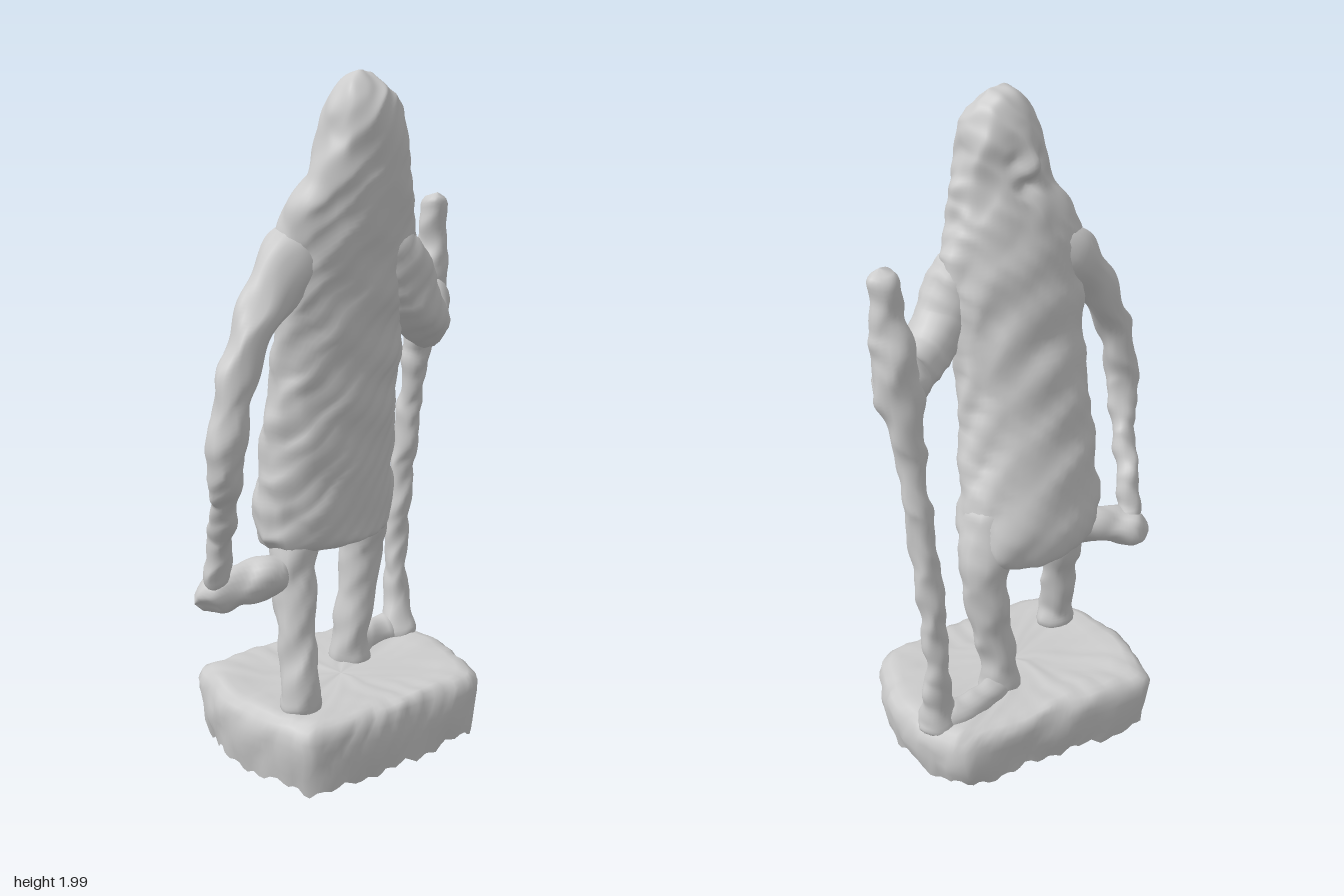
import * as THREE from 'three';

const material = new THREE.MeshStandardMaterial({ color: 0xcccccc, side: THREE.DoubleSide });

// Hand-modelled lumpiness: a small smooth offset that depends on position.
function lump(v, amp) {
  const { x, y, z } = v;
  const wave = (a, b, c) => Math.sin(a * x + 0.6 * b * z + 1) * Math.sin(b * y + c) + 0.6 * Math.sin(2 * b * x - a * y) * Math.sin(2 * a * z + 1.3 * b * y + c);
  v.x += amp * wave(31, 37, 0);
  v.y += amp * wave(27, 33, 2);
  v.z += amp * wave(35, 29, 4);
  return v;
}

// Skin over a list of rings that each have the same number of points.
function skin(name, rings, amp) {
  const n = rings[0].length, index = [];
  const points = rings.flat().map(p => lump(p.clone(), amp));
  for (let i = 0; i < rings.length - 1; i++) {
    for (let j = 0; j < n; j++) {
      const a = i * n + j, b = i * n + (j + 1) % n;
      index.push(a, b, b + n, a, b + n, a + n);
    }
  }
  const geometry = new THREE.BufferGeometry().setFromPoints(points);
  geometry.setIndex(index);
  geometry.computeVertexNormals();
  const mesh = new THREE.Mesh(geometry, material);
  mesh.name = name;
  return mesh;
}

// Round-ended limb through [x, y, z, radius] stations.
function limb(name, stations, amp = 0.005, sides = 20) {
  const path = new THREE.CatmullRomCurve3(stations.map(s => new THREE.Vector3(s[0], s[1], s[2])), false, 'catmullrom');
  const radii = new THREE.CatmullRomCurve3(stations.map(s => new THREE.Vector3(s[3], 0, 0)), false, 'catmullrom');
  const length = path.getLength();
  const steps = Math.max(24, Math.ceil(length / 0.012));
  const frames = path.computeFrenetFrames(steps);
  const rings = [];
  for (let i = 0; i <= steps; i++) {
    const u = i / steps, centre = path.getPointAt(u);
    const r = radii.getPoint(path.getUtoTmapping(u)).x;
    const k = Math.min(1, Math.min(u, 1 - u) * length / r);
    const radius = r * Math.sqrt(1 - (1 - k) ** 2);
    rings.push(Array.from({ length: sides }, (_, j) => {
      const a = j / sides * Math.PI * 2;
      return centre.clone()
        .addScaledVector(frames.normals[i], radius * Math.cos(a))
        .addScaledVector(frames.binormals[i], radius * Math.sin(a));
    }));
  }
  return skin(name, rings, amp);
}

// Face features: [sideways, height, spread, depth], pushed out or in on the facing side.
const features = [
  [0, 1.81, 0.03, 0.022], [0, 1.87, 0.045, 0.012], [0, 1.755, 0.028, -0.02],
  [-0.045, 1.82, 0.022, -0.012], [0.045, 1.82, 0.022, -0.012], [0, 1.69, 0.045, 0.014],
];

// Hooded robe: slanted ellipses given as [y, x, z, half x, half z, slant].
function robe() {
  const profile = [
    [0.72, -0.045, 0.00, 0.002, 0.002, 2.0],
    [0.685, -0.045, 0.00, 0.15, 0.14, 2.0],
    [0.7, -0.045, 0.00, 0.203, 0.198, 2.0],
    [0.78, -0.045, 0.003, 0.214, 0.21, 2.0],
    [0.90, -0.042, 0.027, 0.206, 0.192, 2.0],
    [1.05, -0.034, 0.06, 0.198, 0.166, 2.0],
    [1.2, -0.022, 0.085, 0.19, 0.147, 2.0],
    [1.4, -0.005, 0.115, 0.194, 0.142, 2.05],
    [1.53, 0.0, 0.135, 0.203, 0.142, 2.05],
    [1.64, 0.008, 0.157, 0.186, 0.132, 1.97],
    [1.73, 0.03, 0.172, 0.15, 0.122, 1.85],
    [1.82, 0.037, 0.177, 0.127, 0.118, 1.75],
    [1.9, 0.04, 0.18, 0.109, 0.113, 1.7],
    [1.96, 0.04, 0.18, 0.075, 0.09, 1.7],
    [1.99, 0.04, 0.18, 0.04, 0.05, 1.7],
    [2.0, 0.04, 0.18, 0.001, 0.001, 1.7],
  ];
  const times = profile.map((_, i) => i);
  const spline = new THREE.CubicInterpolant(times, profile.flat(), 6, new Float32Array(6));
  const rings = [], steps = 135, sides = 64;
  for (let i = 0; i <= steps; i++) {
    const [y, x, z, hx, hz, slant] = spline.evaluate(i / steps * (profile.length - 1));
    rings.push(Array.from({ length: sides }, (_, j) => {
      const a = j / sides * Math.PI * 2;
      const dx = hx * Math.cos(a), dz = hz * Math.cos(a + slant);
      const across = (dx - dz) * Math.SQRT1_2;
      let push = 0;
      if (dx + dz < 0) {
        for (const [s, h, spread, depth] of features) {
          push += depth * Math.exp(-((across - s) ** 2 + (y - h) ** 2) / spread ** 2);
        }
      }
      return new THREE.Vector3(x + dx - push * Math.SQRT1_2, y, z + dz - push * Math.SQRT1_2);
    }));
  }
  return skin('hoodedRobe', rings, 0.006);
}

// Hollow plinth, open underneath, with a ragged lower rim.
function plinth() {
  const corners = [
    [0.43, -0.01], [0.4, -0.16], [0.35, -0.27], [0.25, -0.38], [0.165, -0.435], [0.08, -0.395], [-0.05, -0.325],
    [-0.22, -0.24], [-0.35, -0.165], [-0.415, -0.115], [-0.395, 0.03], [-0.335, 0.165], [-0.19, 0.32],
    [-0.12, 0.365], [0.0, 0.325], [0.2, 0.21], [0.33, 0.125], [0.405, 0.065],
  ];
  const outline = new THREE.CatmullRomCurve3(corners.map(c => new THREE.Vector3(c[0], 0, c[1])), true);
  const edge = outline.getSpacedPoints(120).slice(0, 120);
  // [scale, height, share of the ragged rim]
  const levels = [[0.95, 0.05, 1], [0.975, 0.09, 0.6], [0.995, 0.13, 0.2], [1, 0.165, 0], [0.995, 0.195, 0],
    [0.97, 0.222, 0], [0.92, 0.238, 0], [0.85, 0.243, 0], [0.72, 0.24, 0], [0.55, 0.235, 0], [0.35, 0.235, 0], [0.15, 0.237, 0], [0, 0.237, 0]];
  const rings = levels.map(([s, y, rag]) => edge.map((p, j) => new THREE.Vector3(
    p.x * s,
    y + rag * (-0.06 * p.z + 0.008 * Math.sin(j * 1.6) + 0.008 * Math.sin(j * 0.57)) + (1 - rag) * (-0.04 * p.z - 0.015 * p.x) * s,
    p.z * s)));
  return skin('plinth', rings, 0.006);
}

export function createModel() {
  const group = new THREE.Group();
  group.add(plinth(), robe());

  // Legs
  group.add(limb('rightLeg', [[-0.13, 0.82, 0.09, 0.08], [-0.15, 0.66, 0.135, 0.07], [-0.15, 0.56, 0.155, 0.064],
    [-0.145, 0.42, 0.19, 0.056], [-0.14, 0.3, 0.215, 0.056], [-0.135, 0.19, 0.215, 0.07]]));
  group.add(limb('leftLeg', [[0.06, 0.9, -0.07, 0.09], [0.085, 0.74, -0.13, 0.084], [0.09, 0.6, -0.15, 0.068],
    [0.072, 0.45, -0.14, 0.06], [0.053, 0.32, -0.13, 0.058], [0.05, 0.19, -0.13, 0.075]]));

  // Hanging arm with the held object resting against the leg
  group.add(limb('rightArm', [[-0.04, 1.6, 0.15, 0.07], [-0.15, 1.52, 0.2, 0.085], [-0.235, 1.4, 0.285, 0.066],
    [-0.305, 1.25, 0.355, 0.052], [-0.342, 1.08, 0.388, 0.051], [-0.35, 0.96, 0.375, 0.048], [-0.352, 0.86, 0.33, 0.036],
    [-0.366, 0.74, 0.265, 0.034], [-0.372, 0.6, 0.22, 0.045]], 0.006));
  group.add(limb('heldObject', [[-0.43, 0.56, 0.222, 0.038], [-0.385, 0.58, 0.215, 0.062], [-0.32, 0.605, 0.203, 0.056],
    [-0.25, 0.615, 0.19, 0.058], [-0.16, 0.62, 0.165, 0.05]], 0.007));

  // Bent arm gripping the staff
  group.add(limb('leftArm', [[0.05, 1.6, 0.135, 0.07], [0.145, 1.5, 0.09, 0.086], [0.205, 1.38, 0.05, 0.084],
    [0.248, 1.31, -0.02, 0.074], [0.275, 1.3, -0.11, 0.065], [0.295, 1.31, -0.2, 0.07], [0.303, 1.34, -0.28, 0.076],
    [0.302, 1.35, -0.355, 0.058]]));
  group.add(limb('staff', [[0.333, 1.665, -0.295, 0.042], [0.328, 1.54, -0.298, 0.044], [0.315, 1.42, -0.305, 0.062],
    [0.3, 1.28, -0.305, 0.06], [0.283, 1.15, -0.32, 0.04], [0.265, 0.95, -0.335, 0.038], [0.245, 0.75, -0.34, 0.039],
    [0.232, 0.55, -0.342, 0.036], [0.232, 0.4, -0.335, 0.038], [0.235, 0.3, -0.32, 0.05], [0.235, 0.2, -0.305, 0.075]], 0.006));

  // Raised ground between the staff and the leg
  group.add(limb('mound', [[0.24, 0.26, -0.31, 0.05], [0.17, 0.255, -0.29, 0.048], [0.1, 0.25, -0.22, 0.045], [0.05, 0.235, -0.14, 0.05]]));
  return group;
}
